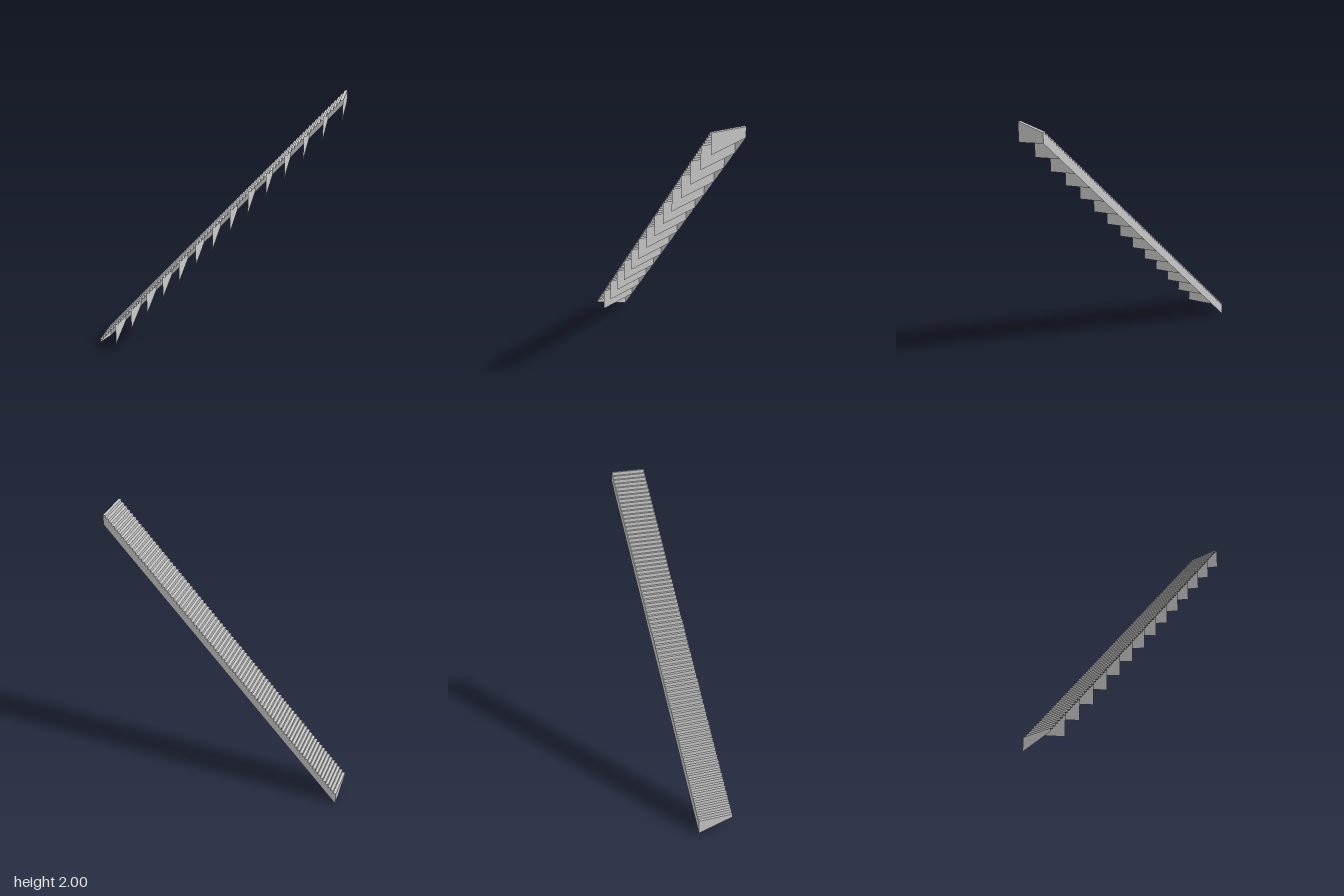
import * as THREE from 'three';

const STEPS = 84, PER_FIN = 6;
const HALF_LENGTH = 0.84, HALF_WIDTH = 0.12, DEPTH = 0.07;
const RUN = 2 * HALF_LENGTH / STEPS;
const RISE = (2 - DEPTH) / STEPS;

const stepX = i => -HALF_LENGTH + i * RUN;
const treadY = i => DEPTH + i * RISE; // height after i risers

export function createModel() {
  const group = new THREE.Group();
  const material = new THREE.MeshStandardMaterial({
    color: 0xcccccc, flatShading: true, side: THREE.DoubleSide,
  });
  const add = (name, geometry, parent = group) => {
    const mesh = new THREE.Mesh(geometry, material);
    mesh.name = name;
    parent.add(mesh);
    return mesh;
  };

  // Saw-toothed line of the flight: riser then tread for each step
  const profile = [[stepX(0), treadY(0)]];
  for (let i = 0; i < STEPS; i++) {
    profile.push([stepX(i), treadY(i + 1)], [stepX(i + 1), treadY(i + 1)]);
  }

  // Thin folded sheet of risers and treads, open underneath
  const positions = [], indices = [];
  profile.forEach(([x, y], i) => {
    positions.push(x, y, HALF_WIDTH, x, y, -HALF_WIDTH);
    if (i > 0) {
      const a = 2 * (i - 1);
      indices.push(a, a + 2, a + 1, a + 1, a + 2, a + 3);
    }
  });
  const sheet = new THREE.BufferGeometry();
  sheet.setAttribute('position', new THREE.Float32BufferAttribute(positions, 3));
  sheet.setIndex(indices);
  const steps = sheet.toNonIndexed();
  steps.computeVertexNormals();
  add('steps', steps);

  // Stringer closing the back edge, with a straight sloping underside
  const outline = [[-HALF_LENGTH, 0], [HALF_LENGTH, 2 - DEPTH], ...profile.slice().reverse()];
  const stringer = new THREE.ShapeGeometry(
    new THREE.Shape(outline.map(([x, y]) => new THREE.Vector2(x, y))));
  add('backStringer', stringer.rotateY(Math.PI).scale(-1, 1, 1).translate(0, 0, -HALF_WIDTH));

  // Upright plate across the flight; its local x runs toward the back
  const plate = (name, x, top, frontBottom, backBottom, parent) => {
    const shape = new THREE.Shape([
      new THREE.Vector2(-HALF_WIDTH, frontBottom),
      new THREE.Vector2(HALF_WIDTH, backBottom),
      new THREE.Vector2(HALF_WIDTH, top),
      new THREE.Vector2(-HALF_WIDTH, top),
    ]);
    const mesh = add(name, new THREE.ShapeGeometry(shape).rotateY(Math.PI / 2), parent);
    mesh.position.x = x;
  };

  // Triangle under the first riser
  const foot = new THREE.ShapeGeometry(new THREE.Shape([
    new THREE.Vector2(-HALF_WIDTH, DEPTH),
    new THREE.Vector2(HALF_WIDTH, 0),
    new THREE.Vector2(HALF_WIDTH, DEPTH),
  ]));
  add('footPlate', foot.rotateY(Math.PI / 2)).position.x = -HALF_LENGTH;

  // Slanted fins hanging below every sixth step
  const fins = new THREE.Group();
  fins.name = 'supportFins';
  group.add(fins);
  for (let i = PER_FIN; i <= STEPS; i += PER_FIN) {
    plate('supportFin', stepX(i), treadY(i), treadY(i - PER_FIN), treadY(i) - DEPTH, fins);
  }
  return group;
}
